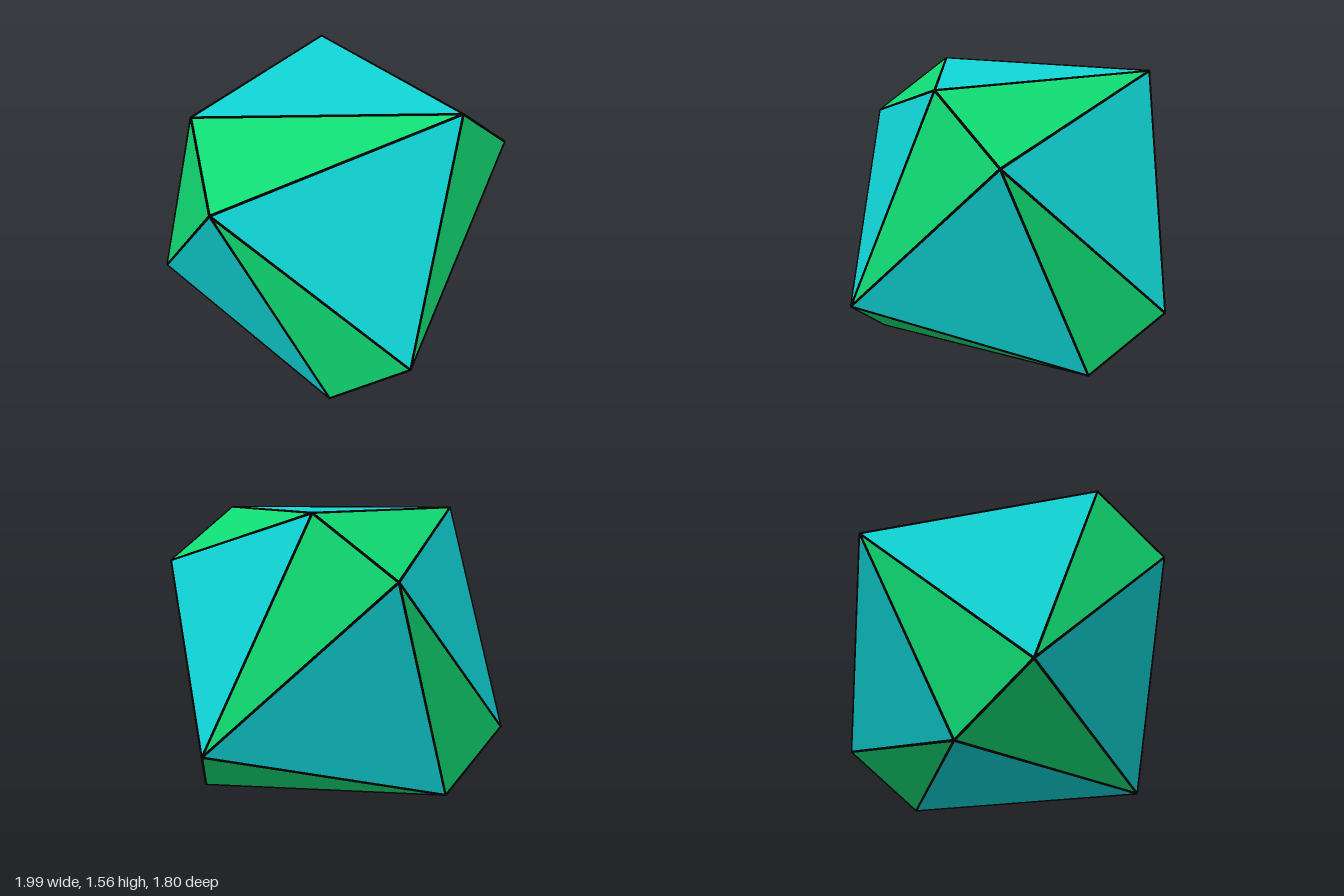
import * as THREE from 'three';

const STRUT = 0.007;
const MID = 0.778;

// Rings of three corners about the vertical axis, plus their opposites
function makeCorners() {
  const upper = [];
  for (const [radius, height, degrees] of [[0.782, 0.771, 29.1], [0.993, 0.46, 4.1]]) {
    for (let k = 0; k < 3; k++) {
      const a = THREE.MathUtils.degToRad(degrees + 120 * k);
      upper.push(new THREE.Vector3(radius * Math.cos(a), height, radius * Math.sin(a)));
    }
  }
  return [...upper, ...upper.map((p) => p.clone().negate())];
}

// Every outer triangle: all other corners lie behind its plane
function findFaces(corners) {
  const faces = [];
  const plane = new THREE.Plane();
  for (let i = 0; i < 12; i++) for (let j = i + 1; j < 12; j++) for (let k = j + 1; k < 12; k++) {
    for (const f of [[i, j, k], [i, k, j]]) {
      plane.setFromCoplanarPoints(...f.map((n) => corners[n]));
      if (plane.constant < -0.1 && corners.every((p) => plane.distanceToPoint(p) < 1e-4)) faces.push(f);
    }
  }
  return faces;
}

function faceMesh(faces, corners, material, name) {
  const geometry = new THREE.BufferGeometry().setFromPoints(faces.flat().map((n) => corners[n]));
  geometry.computeVertexNormals();
  const mesh = new THREE.Mesh(geometry, material);
  mesh.name = name;
  return mesh;
}

export function createModel() {
  const turquoise = new THREE.MeshStandardMaterial({ name: 'turquoise', color: 0x10d6d8 });
  const green = new THREE.MeshStandardMaterial({ name: 'green', color: 0x10dc74 });
  const black = new THREE.MeshStandardMaterial({ name: 'black', color: 0x000000 });

  const model = new THREE.Group();
  model.name = 'twentySidedSolid';
  const corners = makeCorners();
  const faces = findFaces(corners);

  // Eight large equilateral faces and twelve narrow ones
  const shortest = ([a, b, c]) => Math.min(
    corners[a].distanceTo(corners[b]), corners[b].distanceTo(corners[c]), corners[c].distanceTo(corners[a]));
  model.add(faceMesh(faces.filter((f) => shortest(f) > 1), corners, turquoise, 'equilateralFaces'));
  model.add(faceMesh(faces.filter((f) => shortest(f) <= 1), corners, green, 'isoscelesFaces'));

  // Thin rods along the edges
  const edges = new THREE.Group();
  edges.name = 'edges';
  const up = new THREE.Vector3(0, 1, 0);
  for (const [a, b, c] of faces) for (const [s, e] of [[a, b], [b, c], [c, a]]) {
    if (s > e) continue;
    const along = corners[e].clone().sub(corners[s]);
    const rod = new THREE.Mesh(new THREE.CylinderGeometry(STRUT, STRUT, along.length(), 8), black);
    rod.name = 'edgeRod';
    rod.position.copy(corners[s]).addScaledVector(along, 0.5);
    rod.quaternion.setFromUnitVectors(up, along.normalize());
    edges.add(rod);
  }
  // Round joints where the rods meet
  for (const p of corners) {
    const joint = new THREE.Mesh(new THREE.SphereGeometry(STRUT, 10, 8), black);
    joint.name = 'cornerJoint';
    joint.position.copy(p);
    edges.add(joint);
  }
  model.add(edges);

  for (const part of model.children) part.position.y = MID;
  return model;
}
